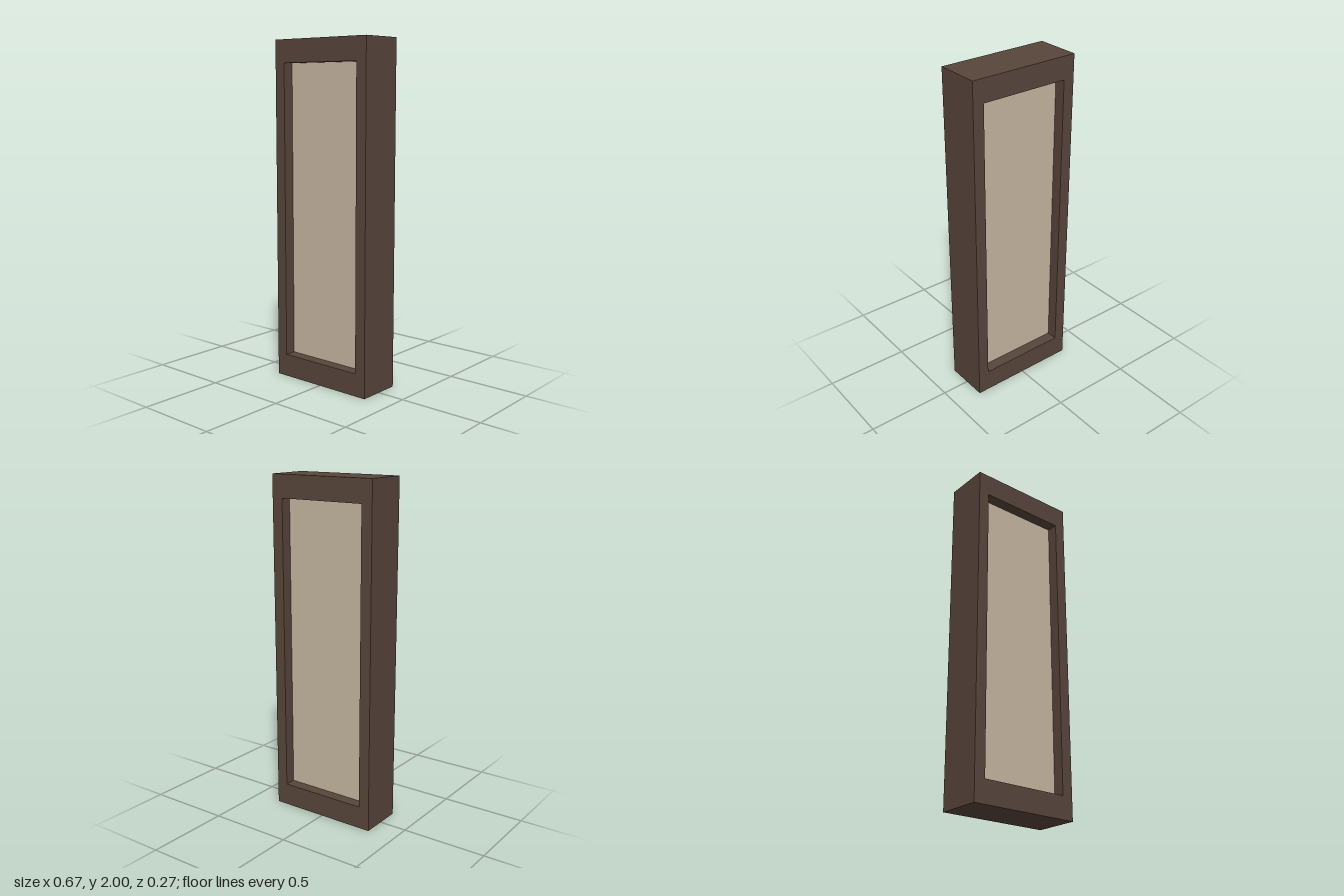
import * as THREE from 'three';

const WIDTH = 0.667, HEIGHT = 2, DEPTH = 0.267;
const STILE = 0.067, RAIL = 0.133; // frame widths at the sides and at top/bottom
const PANEL_DEPTH = 0.133;

// Counter-clockwise rectangle centred on x = 0
function rectangle(Type, width, y0, y1) {
  const x = width / 2;
  return new Type([[-x, y0], [x, y0], [x, y1], [-x, y1]].map(([px, py]) => new THREE.Vector2(px, py)));
}

export function createModel() {
  const group = new THREE.Group();
  group.name = 'framedPanel';

  // Deep outer frame with one rectangular opening
  const outline = rectangle(THREE.Shape, WIDTH, 0, HEIGHT);
  outline.holes.push(rectangle(THREE.Path, WIDTH - 2 * STILE, RAIL, HEIGHT - RAIL));
  const frameGeometry = new THREE.ExtrudeGeometry(outline, { depth: DEPTH, bevelEnabled: false });
  frameGeometry.translate(0, 0, -DEPTH / 2);
  const frame = new THREE.Mesh(frameGeometry, new THREE.MeshStandardMaterial({ color: 0x57453b }));
  frame.name = 'frame';

  // Panel recessed equally on the front and back
  const panel = new THREE.Mesh(
    new THREE.BoxGeometry(WIDTH - 2 * STILE, HEIGHT - 2 * RAIL, PANEL_DEPTH),
    new THREE.MeshStandardMaterial({ color: 0xc5b5a0 })
  );
  panel.name = 'panel';
  panel.position.y = HEIGHT / 2;

  group.add(frame, panel);
  return group;
}
